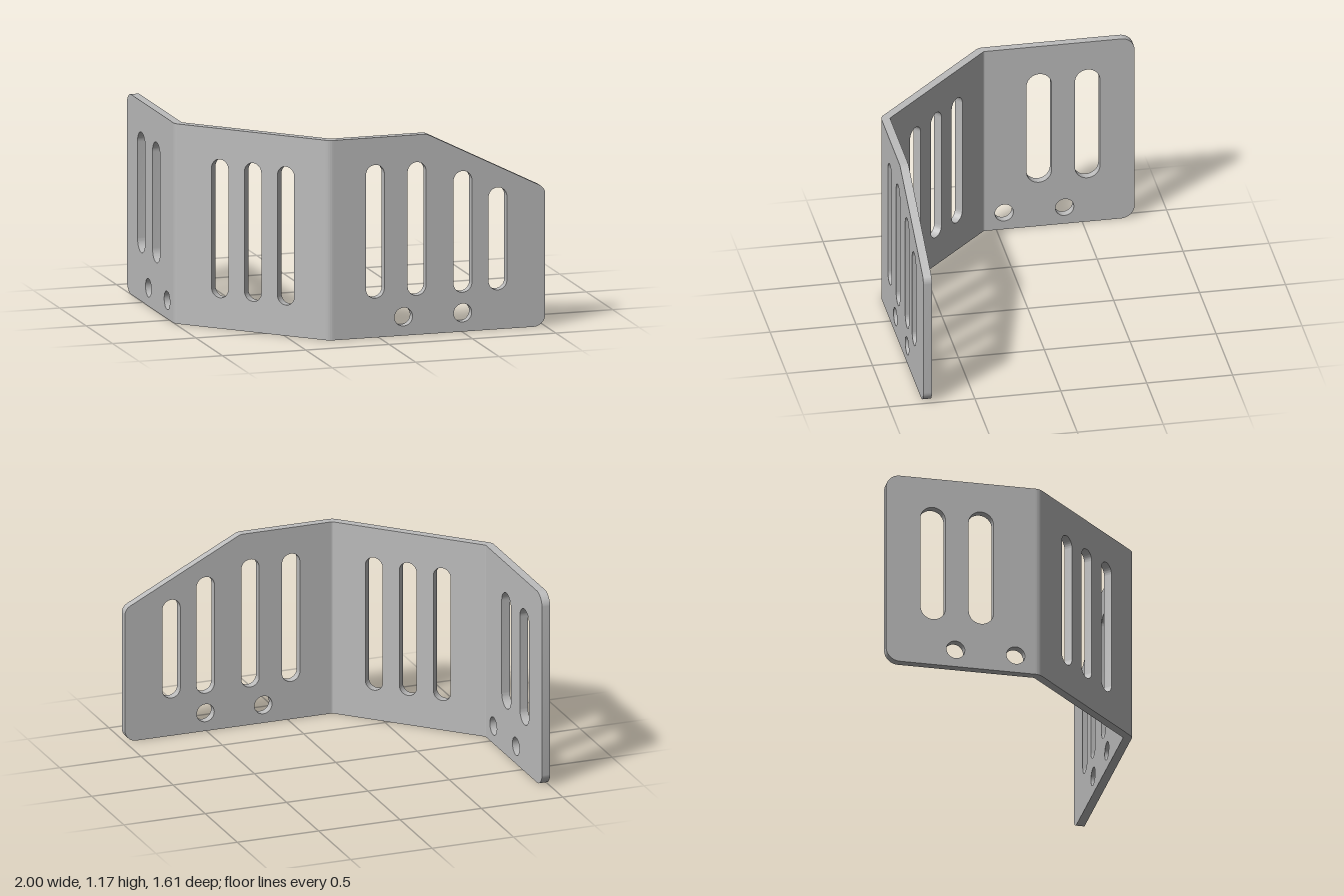
import * as THREE from 'three';
import { toCreasedNormals } from 'three/addons/utils/BufferGeometryUtils.js';

const T = 0.05;          // sheet thickness
const H = 1.17;          // sheet height
const R_IN = 0.01;       // inside bend radius
const R_OUT = R_IN + T;  // outside bend radius
const DIAG = 1.095;      // outer diagonal face lies on z = x + DIAG
const S = Math.SQRT1_2;

// Closed outline from [x, y, cornerRadius] points
function roundedOutline(points) {
  const shape = new THREE.Shape();
  points.forEach(([x, y, r], i) => {
    const p = new THREE.Vector2(x, y);
    const before = points.at(i - 1), after = points[(i + 1) % points.length];
    const a = new THREE.Vector2(before[0], before[1]).sub(p).normalize();
    const b = new THREE.Vector2(after[0], after[1]).sub(p).normalize();
    const turn = Math.PI - Math.acos(a.dot(b));
    const t = r * Math.tan(turn / 2);
    const k = t - (4 / 3) * r * Math.tan(turn / 4);
    const start = p.clone().addScaledVector(a, t);
    if (i === 0) shape.moveTo(start.x, start.y);
    else shape.lineTo(start.x, start.y);
    if (r > 0) {
      const c1 = p.clone().addScaledVector(a, k), c2 = p.clone().addScaledVector(b, k);
      const end = p.clone().addScaledVector(b, t);
      shape.bezierCurveTo(c1.x, c1.y, c2.x, c2.y, end.x, end.y);
    }
  });
  shape.closePath();
  return shape;
}

// Vertical slot with rounded ends
function slot(x, width, y0, y1) {
  const r = width / 2, path = new THREE.Path();
  path.absarc(x, y1 - r, r, 0, Math.PI, false);
  path.absarc(x, y0 + r, r, Math.PI, Math.PI * 2, false);
  path.closePath();
  return path;
}

function roundHole(x, y, r) {
  return new THREE.Path().absarc(x, y, r, 0, Math.PI * 2, false);
}

function extrude(shape, depth) {
  return new THREE.ExtrudeGeometry(shape, { depth, bevelEnabled: false, curveSegments: 14 });
}

export function createModel() {
  const model = new THREE.Group();
  model.name = 'bentGuardPlate';
  const metal = new THREE.MeshStandardMaterial({ color: 0xbcbcbc });
  metal.name = 'grey metal';

  function add(name, geometry) {
    const mesh = new THREE.Mesh(toCreasedNormals(geometry, 0.5), metal);
    mesh.name = name;
    model.add(mesh);
    return mesh;
  }

  function panel(name, outline, holes, position, angle) {
    const shape = roundedOutline(outline);
    shape.holes.push(...holes);
    const mesh = add(name, extrude(shape, T));
    mesh.position.set(...position);
    mesh.rotation.y = angle;
  }

  // Bend centres in plan, where the flat panels end
  const tangent = R_OUT * Math.tan(Math.PI / 8);
  const bendA = { x: -1 + R_OUT, z: DIAG - 1 - tangent };
  const bendB = { x: 0.8 - DIAG + tangent, z: 0.8 - R_OUT };

  // Front panel with its sloped top corner
  panel('frontPanel',
    [[bendB.x, 0, 0], [1, 0, 0.07], [1, 0.81, 0.06], [0.29, H, 0.07], [bendB.x, H, 0]],
    [
      slot(-0.02, 0.11, 0.23, 1.01), slot(0.23, 0.11, 0.23, 1.01),
      slot(0.505, 0.11, 0.23, 0.94), slot(0.715, 0.11, 0.23, 0.83),
      roundHole(0.15, 0.11, 0.054), roundHole(0.505, 0.11, 0.054),
    ],
    [0, 0, 0.8 - T], 0);

  // Diagonal panel with three slots
  const length = Math.hypot(bendB.x - bendA.x, bendB.z - bendA.z);
  const startX = bendA.x - R_OUT * S;
  panel('diagonalPanel',
    [[0, 0, 0], [length, 0, 0], [length, H, 0], [0, H, 0]],
    [-0.793, -0.643, -0.493].map((x) => slot((x - startX) / S, 0.108, 0.18, 0.99)),
    [bendA.x - R_IN * S, 0, bendA.z + R_IN * S], -Math.PI / 4);

  // Side panel, drawn with z along its local x
  panel('sidePanel',
    [[-0.805, 0, 0.08], [bendA.z, 0, 0], [bendA.z, H, 0], [-0.805, H, 0.08]],
    [
      slot(-0.248, 0.145, 0.285, 0.99), slot(-0.53, 0.145, 0.285, 0.99),
      roundHole(-0.045, 0.107, 0.054), roundHole(-0.397, 0.107, 0.054),
    ],
    [-1 + T, 0, 0], -Math.PI / 2);

  // Rounded bends joining the panels
  [['sideBend', bendA, Math.PI], ['frontBend', bendB, Math.PI * 1.25]].forEach(([name, c, from]) => {
    const to = from + Math.PI / 4;
    const shape = new THREE.Shape();
    shape.absarc(c.x, -c.z, R_OUT, from, to, false);
    shape.absarc(c.x, -c.z, R_IN, to, from, true);
    shape.closePath();
    add(name, extrude(shape, H).rotateX(-Math.PI / 2));
  });

  return model;
}
